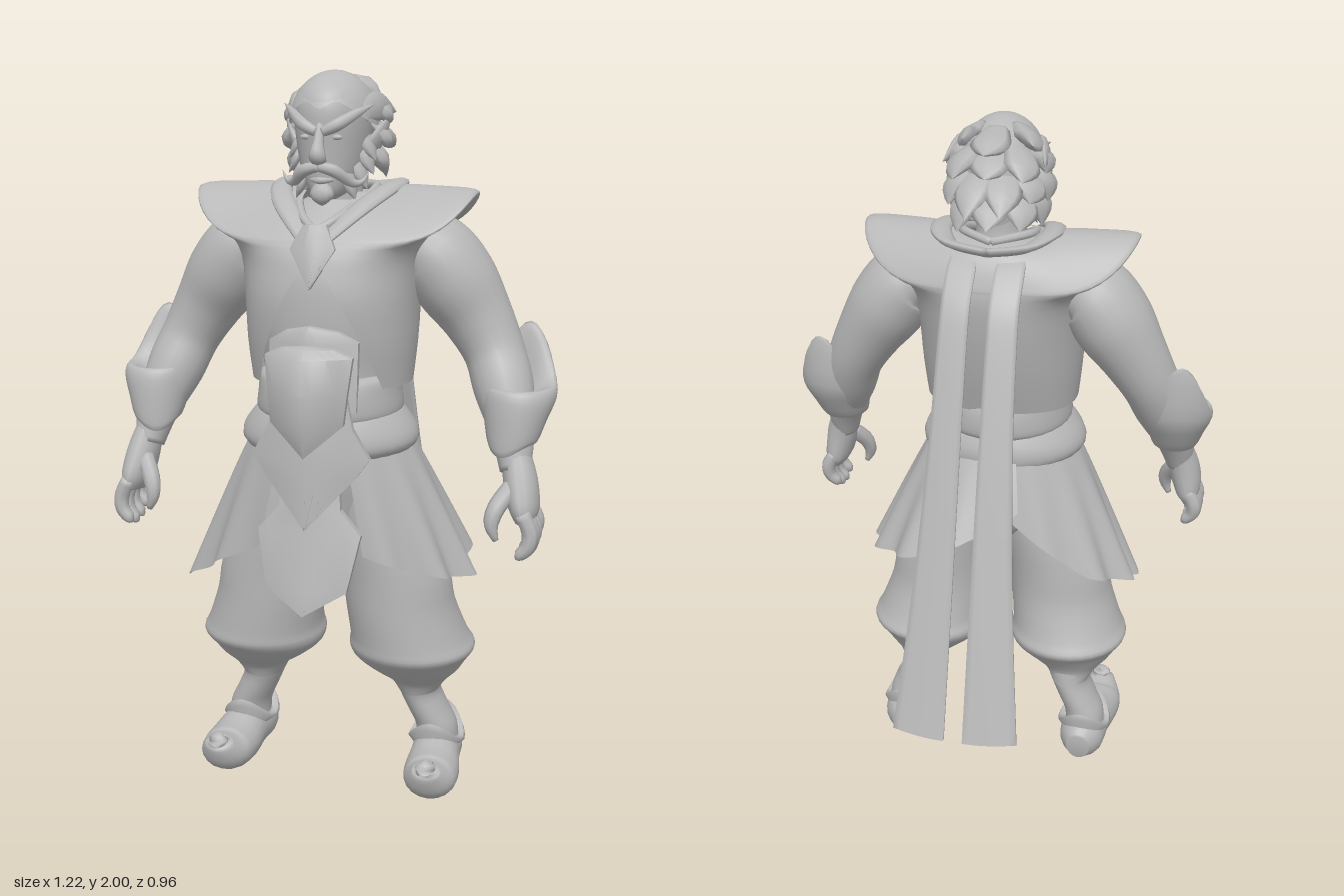
import * as THREE from 'three';
import { toCreasedNormals } from 'three/addons/utils/BufferGeometryUtils.js';

const { sin, cos, abs, sign, max, min, PI } = Math;
const V = (x, y, z) => new THREE.Vector3(x, y, z);
const RAD = PI / 180;

// smooth interpolation through rows of numbers, n steps between rows
function spline(rows, n) {
  const out = [], last = rows.length - 1;
  for (let k = 0; k <= last * n; k++) {
    const i = min(Math.floor(k / n), last - 1), t = k / n - i;
    const [a, b, c, d] = [rows[max(i - 1, 0)], rows[i], rows[i + 1], rows[min(i + 2, last)]];
    out.push(b.map((_, j) => b[j] + 0.5 * t * (c[j] - a[j] + t * (2 * a[j] - 5 * b[j] + 4 * c[j] - d[j]
      + t * (3 * (b[j] - c[j]) + d[j] - a[j])))));
  }
  return out;
}

// skin over rows of points, rows run along v and points along u
function skin(rows, closed = true) {
  const m = rows[0].length, pos = [], idx = [];
  rows.forEach(r => r.forEach(p => pos.push(p.x, p.y, p.z)));
  for (let i = 0; i < rows.length - 1; i++) for (let j = 0; j < (closed ? m : m - 1); j++) {
    const a = i * m + j, b = i * m + (j + 1) % m;
    idx.push(a, b, a + m, b, b + m, a + m);
  }
  const g = new THREE.BufferGeometry();
  g.setAttribute('position', new THREE.Float32BufferAttribute(pos, 3));
  g.setIndex(idx);
  g.computeVertexNormals();
  return g;
}

// tapering tube through [x, y, z, sideRadius, refRadius], closed at the ends
function limb(pts, ref = [0, 0, 1], seg = 14, n = 5) {
  const s = spline(pts.map(p => p.length < 5 ? [...p, p[3]] : p), n);
  const R = V(...ref), P = s.map(p => V(p[0], p[1], p[2]));
  const rows = s.map((p, i) => {
    const T = P[min(i + 1, P.length - 1)].clone().sub(P[max(i - 1, 0)]).normalize();
    const B = T.clone().cross(R).normalize(), N = B.clone().cross(T);
    return Array.from({ length: seg }, (_, j) => {
      const a = j / seg * 2 * PI;
      const q = P[i].clone().addScaledVector(N, max(p[4], 0) * cos(a)).addScaledVector(B, max(p[3], 0) * sin(a));
      q.y = max(q.y, 0);
      return q;
    });
  });
  const cap = p => Array.from({ length: seg }, () => p.clone());
  return skin([cap(P[0]), ...rows, cap(P[P.length - 1])]);
}

// horizontal oval point; pw < 1 makes it boxier
function oval(a, x0, y, rx, zB, zF, pw = 1) {
  const f = v => sign(v) * abs(v) ** pw;
  return V(x0 + rx * f(sin(a)), y, (zB + zF) / 2 + (zF - zB) / 2 * f(cos(a)));
}

// stacked ovals from [y, x, rx, zBack, zFront], bottom to top
function stack(rows, n = 4, seg = 32) {
  return skin(spline(rows, n).map(([y, x, rx, b, f]) =>
    Array.from({ length: seg }, (_, j) => oval(j / seg * 2 * PI, x, y, rx, b, f))));
}

// thin bowed plate from [y, halfWidth, zMiddle, zEdge], bottom to top
const plate = rows => toCreasedNormals(skin(rows.map(([y, w, zc, ze]) => {
  const front = [], back = [];
  for (let u = -1; u <= 1; u += 0.25) {
    const z = ze + (zc - ze) * (1 - abs(u) ** 1.5);
    front.push(V(w * u, y, z));
    back.unshift(V(w * u, y, z - 0.018));
  }
  return [...front, ...back];
})), 0.6);

// leaf-shaped curved lock of hair, thin along the outward direction
const tuft = (a, b, c, r, out = [1, 0.2, 0.3]) =>
  limb([[...a, r * 0.5, r * 0.15], [...b, r * 0.85, r * 0.35], [...c, 0, 0]], out, 8, 4);

export function createModel() {
  const model = new THREE.Group();
  const clay = new THREE.MeshStandardMaterial({ color: 0xb8b8b8, side: THREE.DoubleSide });
  clay.name = 'clay grey';
  const add = (name, geo) => {
    const m = new THREE.Mesh(geo, clay);
    m.name = name;
    model.add(m);
  };
  const pair = (name, geo) => {
    add(name + 'Left', geo);
    const g = geo.clone().scale(-1, 1, 1), ix = g.index.array;
    for (let i = 0; i < ix.length; i += 3) [ix[i], ix[i + 1]] = [ix[i + 1], ix[i]];
    g.computeVertexNormals();
    add(name + 'Right', g);
  };

  // body under the vest
  add('torso', stack([[1.0, 0, 0.18, 0.02, 0.36], [1.2, 0, 0.185, 0.02, 0.34], [1.35, 0, 0.21, -0.02, 0.355],
    [1.5, 0, 0.22, -0.05, 0.345], [1.6, 0, 0.19, -0.03, 0.28], [1.67, 0, 0.08, 0.03, 0.2]]));
  add('neck', stack([[1.58, 0, 0.085, 0.02, 0.2], [1.68, 0, 0.07, 0.06, 0.2], [1.78, 0, 0.07, 0.06, 0.2]]));

  // open vest with flared, pointed shoulder wings: [y, rx, zBack, zFront, front gap x, side lift]
  const vest = spline([[1.19, 0.22, 0.0, 0.34, 0.17, 0], [1.3, 0.23, -0.035, 0.37, 0.135, 0], [1.42, 0.235, -0.065, 0.385, 0.08, 0],
    [1.51, 0.25, -0.08, 0.37, 0.03, 0.02], [1.55, 0.3, -0.082, 0.355, 0.03, 0.07], [1.57, 0.375, -0.08, 0.343, 0.035, 0.108],
    [1.585, 0.372, -0.078, 0.333, 0.04, 0.115], [1.635, 0.27, -0.06, 0.285, 0.06, 0.07], [1.675, 0.17, -0.03, 0.22, 0.07, 0.03],
    [1.69, 0.1, 0.02, 0.19, 0.07, 0]], 3).map(([y, rx, b, f, gap, lift]) => {
    const pw = 0.88, a0 = Math.asin(min(1, gap / rx) ** (1 / pw));
    return Array.from({ length: 57 }, (_, j) => {
      const a = a0 + j / 56 * (2 * PI - 2 * a0);
      return oval(a, 0, y + lift * abs(sin(a)) ** 5, rx, b, f, pw);
    });
  });
  add('vest', skin(vest, false));
  pair('collar', limb([[0, 1.675, -0.045, 0.03, 0.012], [0.1, 1.69, -0.035, 0.03, 0.012], [0.15, 1.705, 0.05, 0.03, 0.012], [0.145, 1.695, 0.16, 0.03, 0.012],
    [0.1, 1.655, 0.26, 0.03, 0.012], [0.01, 1.57, 0.345, 0.025, 0.01]], [0, 1, 0.4], 10));
  pair('neckBand', limb([[0, 1.69, 0.0, 0.012], [0.09, 1.7, 0.06, 0.012], [0.095, 1.68, 0.16, 0.012], [0.05, 1.635, 0.28, 0.012], [0, 1.6, 0.33, 0.012]], [0, 1, 0.3], 8));
  add('pendant', plate([[1.46, 0, 0.395, 0.39], [1.56, 0.06, 0.382, 0.36], [1.62, 0.03, 0.35, 0.335]]));

  // sash and belt
  add('belt', stack([[1.1, 0, 0.19, 0.0, 0.385], [1.12, 0, 0.2, -0.012, 0.4], [1.17, 0, 0.195, -0.012, 0.4], [1.21, 0, 0.19, 0, 0.385], [1.22, 0, 0.17, 0.02, 0.36]]));
  add('sash', stack([[1.0, 0, 0.215, 0.0, 0.385], [1.03, 0, 0.243, -0.015, 0.405], [1.07, 0, 0.235, -0.015, 0.405], [1.12, 0, 0.195, 0.005, 0.39], [1.13, 0, 0.17, 0.02, 0.36]]));

  // overlapping front plates
  add('bellyGuard', plate([[1.14, 0.12, 0.41, 0.37], [1.32, 0.12, 0.41, 0.35], [1.35, 0.07, 0.4, 0.37], [1.365, 0, 0.395, 0.39]]));
  add('upperPlate', plate([[1.03, 0, 0.455, 0.452], [1.115, 0.098, 0.475, 0.42], [1.2, 0.108, 0.478, 0.415], [1.29, 0.118, 0.455, 0.4], [1.312, 0.07, 0.435, 0.41], [1.32, 0, 0.42, 0.415]]));
  add('middlePlate', plate([[0.83, 0, 0.45, 0.445], [0.97, 0.125, 0.437, 0.4], [1.02, 0.16, 0.435, 0.385], [1.1, 0.115, 0.425, 0.39], [1.18, 0.1, 0.41, 0.39]]));
  add('lowerPlate', plate([[0.6, 0, 0.478, 0.475], [0.665, 0.112, 0.465, 0.44], [0.815, 0.142, 0.435, 0.405], [0.88, 0.085, 0.422, 0.4], [1.0, 0.075, 0.41, 0.38]]));

  // pleated skirt panels; hem gives the drop height for each angle
  const panel = (from, to, hem, pleat, backFlare) => {
    const rows = [];
    for (let i = 0; i <= 10; i++) {
      const t = 1 - i / 10, row = [];
      for (let j = 0; j <= 60; j++) {
        const deg = from + (to - from) * j / 60, a = deg * RAD, yh = hem(abs(deg));
        const y = 1.05 + (yh - 1.05) * t, k = (1.05 - y) / 0.4, w = 1 + pleat * k * sin(deg * 0.24);
        const rz = cos(a) > 0 ? 0.2 + 0.06 * k : 0.2 + backFlare * k;
        row.push(V((0.21 + 0.185 * k ** 0.9) * w * sin(a), y, 0.19 - 0.04 * k + rz * w * cos(a)));
      }
      rows.push(row);
    }
    return skin(rows, false);
  };
  add('skirtLeft', panel(24, 200, d => d < 90 ? 0.75 - 0.1 * sin((d - 24) / 66 * PI / 2)
    : d < 145 ? 0.65 + 0.1 * (d - 90) / 55 : 0.75 + 0.16 * (d - 145) / 55, 0.05, 0.18));
  add('skirtRight', panel(-195, -24, d => d < 75 ? 0.76 - 0.18 * (d - 24) / 51
    : d < 130 ? 0.58 + 0.1 * (d - 75) / 55 : 0.68 + 0.32 * (d - 130) / 65, 0.04, 0.05));
  add('hipWrap', stack([[0.74, 0, 0.05, 0.06, 0.27], [0.8, 0, 0.15, 0.0, 0.31], [0.88, 0, 0.215, -0.03, 0.33], [0.95, 0, 0.215, -0.025, 0.35], [1.05, 0, 0.205, 0, 0.38]]));

  // baggy trousers, shins, boots
  pair('trousers', stack([[0.26, 0.237, 0.06, 0.015, 0.175], [0.3, 0.237, 0.085, 0.02, 0.195], [0.34, 0.228, 0.13, 0.0, 0.24], [0.38, 0.218, 0.165, -0.03, 0.28],
    [0.413, 0.222, 0.18, -0.052, 0.308], [0.45, 0.215, 0.168, -0.035, 0.31], [0.55, 0.192, 0.155, -0.005, 0.313], [0.65, 0.178, 0.15, 0.0, 0.315],
    [0.8, 0.14, 0.13, 0, 0.32], [0.95, 0.11, 0.1, 0.02, 0.31]], 3));
  pair('shin', stack([[0.06, 0.292, 0.06, 0.0, 0.15], [0.14, 0.288, 0.06, 0.01, 0.155], [0.2, 0.262, 0.058, 0.012, 0.165], [0.26, 0.238, 0.06, 0.015, 0.175], [0.32, 0.237, 0.08, 0.02, 0.2]]));
  pair('boot', limb([[0.285, 0.06, -0.022, 0.035, 0.045], [0.288, 0.065, 0.03, 0.068, 0.075], [0.295, 0.065, 0.12, 0.07, 0.075], [0.302, 0.055, 0.2, 0.078, 0.066],
    [0.307, 0.06, 0.265, 0.074, 0.06], [0.308, 0.09, 0.305, 0.052, 0.04], [0.307, 0.12, 0.318, 0.03, 0.024], [0.305, 0.138, 0.305, 0, 0]], [0, 1, 0.2], 18));
  // boot cuff dips at the sides and points up in front and behind
  pair('bootCuff', skin([[0.09, 0.072, 0], [0.125, 0.083, 0.03], [0.14, 0.078, 0.035], [0.13, 0.058, 0.03]].map(([y, r, l]) =>
    Array.from({ length: 24 }, (_, j) => {
      const a = j / 24 * 2 * PI;
      return oval(a, 0.289, y + l * cos(2 * a), r, 0.08 - r * 1.1, 0.08 + r * 1.15);
    }))));

  // arms
  pair('arm', limb([[0.2, 1.55, 0.11, 0.08, 0.1], [0.265, 1.53, 0.11, 0.105, 0.125], [0.325, 1.45, 0.105, 0.112, 0.125], [0.385, 1.36, 0.105, 0.095, 0.1],
    [0.435, 1.27, 0.12, 0.082, 0.085], [0.47, 1.18, 0.16, 0.08, 0.08], [0.505, 1.07, 0.21, 0.058, 0.06], [0.52, 0.98, 0.245, 0.04, 0.048]], [0, 0, 1], 20));
  // diamond cuffs: tall spike at the elbow, dipped point at the lower front
  const cuffRow = ([x, y, z, r, spike, dip]) => Array.from({ length: 36 }, (_, j) => {
    const a = j / 36 * 2 * PI, d = max(0, cos(a - 170 * RAD)) ** 2.5, e = max(0, cos(a + 20 * RAD)) ** 3;
    return V(x + r * sin(a) * 0.9, y + 0.15 * spike * d - 0.04 * dip * e, z + r * cos(a) + 0.01 * spike * d);
  });
  pair('cuff', skin(spline([[0.505, 1.06, 0.21, 0.05, 0, 0.5], [0.505, 1.055, 0.21, 0.072, 0, 0.8], [0.508, 1.11, 0.19, 0.092, 0, 0.5], [0.512, 1.165, 0.165, 0.11, 0.2, 0],
    [0.51, 1.195, 0.155, 0.106, 0.95, 0], [0.5, 1.19, 0.155, 0.088, 0.9, 0], [0.48, 1.17, 0.16, 0.07, 0.2, 0]], 3).map(cuffRow)));

  // hands
  pair('palm', limb([[0.52, 1.03, 0.23, 0.035, 0.045], [0.535, 0.96, 0.25, 0.045, 0.06], [0.55, 0.89, 0.265, 0.04, 0.075], [0.555, 0.855, 0.27, 0.025, 0.065]]));
  for (let i = 0; i < 4; i++) {
    const z = 0.325 - i * 0.038, l = [0.95, 1.05, 1, 0.85][i];
    pair('finger' + (i + 1), limb([[0.553, 0.89, z, 0.02], [0.575, 0.89 - 0.05 * l, z, 0.022], [0.572, 0.89 - 0.09 * l, z + 0.005, 0.02],
      [0.55, 0.89 - 0.117 * l, z + 0.008, 0.016], [0.54, 0.89 - 0.122 * l, z + 0.008, 0.006]], [0, 0, 1], 8, 3));
  }
  pair('thumb', limb([[0.52, 0.95, 0.28, 0.025], [0.485, 0.9, 0.32, 0.024], [0.475, 0.855, 0.335, 0.019], [0.488, 0.815, 0.335, 0.008]], [0, 0, 1], 8, 3));

  // two long ribbons down the back, bowed across: [y, z, inner x, outer x]
  pair('ribbon', skin(spline([[0.39, -0.478, 0.027, 0.178], [0.8, -0.365, 0.026, 0.14], [1.2, -0.255, 0.026, 0.115], [1.45, -0.18, 0.026, 0.107],
    [1.56, -0.135, 0.026, 0.105], [1.63, -0.075, 0.026, 0.105], [1.66, -0.03, 0.03, 0.1]], 5).map(([y, z, a, b]) => {
    const top = [], low = [];
    for (let j = 0; j <= 8; j++) {
      const x = a + (b - a) * j / 8, o = 0.13 * (b - a) * (j / 8) ** 2;
      top.push(V(x, y, z + o + 0.006));
      low.unshift(V(x, y + o * 0.3, z + o - 0.004));
    }
    return [...top, ...low];
  })));

  // head and face
  add('head', stack([[1.675, 0, 0.025, 0.18, 0.255], [1.695, 0, 0.052, 0.12, 0.272], [1.74, 0, 0.078, 0.06, 0.278], [1.8, 0, 0.092, 0.03, 0.283], [1.86, 0, 0.1, 0.015, 0.288],
    [1.91, 0, 0.1, 0.02, 0.285], [1.95, 0, 0.085, 0.04, 0.265], [1.98, 0, 0.05, 0.08, 0.22], [1.985, 0, 0, 0.15, 0.15]]));
  add('nose', limb([[0, 1.87, 0.275, 0.012, 0.012], [0, 1.825, 0.297, 0.014, 0.015], [0, 1.79, 0.308, 0.022, 0.022], [0, 1.775, 0.292, 0.02, 0.01]], [0, 0, 1], 10));
  add('lowerLip', limb([[-0.03, 1.727, 0.268, 0.004], [0, 1.726, 0.285, 0.009], [0.03, 1.727, 0.268, 0.004]], [0, 1, 0], 8));
  pair('brow', limb([[0.008, 1.848, 0.29, 0.012], [0.045, 1.866, 0.281, 0.016], [0.085, 1.893, 0.24, 0.012], [0.12, 1.915, 0.2, 0.001]], [0, 1, 0], 8));
  pair('eye', new THREE.SphereGeometry(0.014, 12, 8).scale(1.2, 0.5, 0.5).translate(0.04, 1.835, 0.273));
  pair('ear', limb([[0.088, 1.79, 0.155, 0.025, 0.014], [0.118, 1.83, 0.14, 0.03, 0.012], [0.148, 1.895, 0.11, 0, 0]], [1, -0.5, 0.5], 8));
  pair('moustache', limb([[0, 1.762, 0.3, 0.012], [0.04, 1.752, 0.293, 0.016], [0.075, 1.722, 0.262, 0.012], [0.1, 1.722, 0.245, 0.007], [0.118, 1.75, 0.235, 0]], [0, 0, 1], 8));
  add('chinBeard', limb([[0, 1.715, 0.258, 0.022, 0.022], [0, 1.69, 0.268, 0.032, 0.022], [0, 1.672, 0.268, 0.02, 0.015], [0, 1.66, 0.265, 0, 0]], [0, 0, 1], 10));

  // flat whiskers along the jaw
  [[0.092, 1.82, 0.17], [0.09, 1.785, 0.18], [0.08, 1.75, 0.2], [0.062, 1.725, 0.23]].forEach(([x, y, z], i) =>
    pair('whisker' + (i + 1), tuft([x * 0.95, y + 0.025, z - 0.02], [x * 1.08, y - 0.015, z], [x * 1.3, y - 0.05, z + 0.005], 0.036)));

  // hair cap with a peak on the forehead
  const cap = [];
  for (let i = 0; i <= 10; i++) {
    cap.push(Array.from({ length: 40 }, (_, j) => {
      const a = j / 40 * 2 * PI, c = cos(a), peak = max(0, c) ** 24;
      const low = c > 0 ? 1.86 + 0.08 * c * c - 0.035 * peak : 1.86 + 0.13 * c;
      const y = low + (2 - low) * sin(i / 10 * PI / 2), h = (y - 1.86) / 0.14;
      const r = Math.sqrt(max(0, 1 - h * h * (h > 0 ? 1 : 0.25)));
      return V(0.118 * r * sin(a), y, 0.145 + (c > 0 ? 0.152 : 0.15) * r * c);
    }));
  }
  add('hairCap', skin(cap));

  // broad swept-back locks in staggered tiers: [base y, radius, reach, drop, count]
  [[1.955, 0.07, 0.14, 0.015, 3], [1.91, 0.105, 0.12, 0.045, 5], [1.855, 0.112, 0.12, 0.07, 6], [1.8, 0.1, 0.1, 0.075, 5]]
    .forEach(([y, r, reach, drop, n], k) => {
      for (let i = 0; i < n; i++) {
        const a = (180 + ((i + 0.5) / n - 0.5) * 190) * RAD, s = sin(a), c = cos(a), v = 0.8 + 0.35 * abs(sin(i * 2.3 + k * 1.7));
        const R = reach * v * (0.45 + 0.55 * max(0, -c));
        add('hairLock', tuft([r * 0.85 * s, y + 0.02, 0.15 + r * c], [(r + R * 0.25) * s, y - drop * 0.35, 0.13 + (r + R * 0.5) * c],
          [(r + R * 0.4) * s, y - drop * v + 0.005, 0.115 + (r + R * 0.9) * c], 0.062, [s, 0.5, c]));
      }
    });
  // long locks combed back from the temples
  pair('templeLock', tuft([0.098, 1.895, 0.21], [0.116, 1.91, 0.13], [0.138, 1.89, 0.03], 0.045));
  return model;
}
